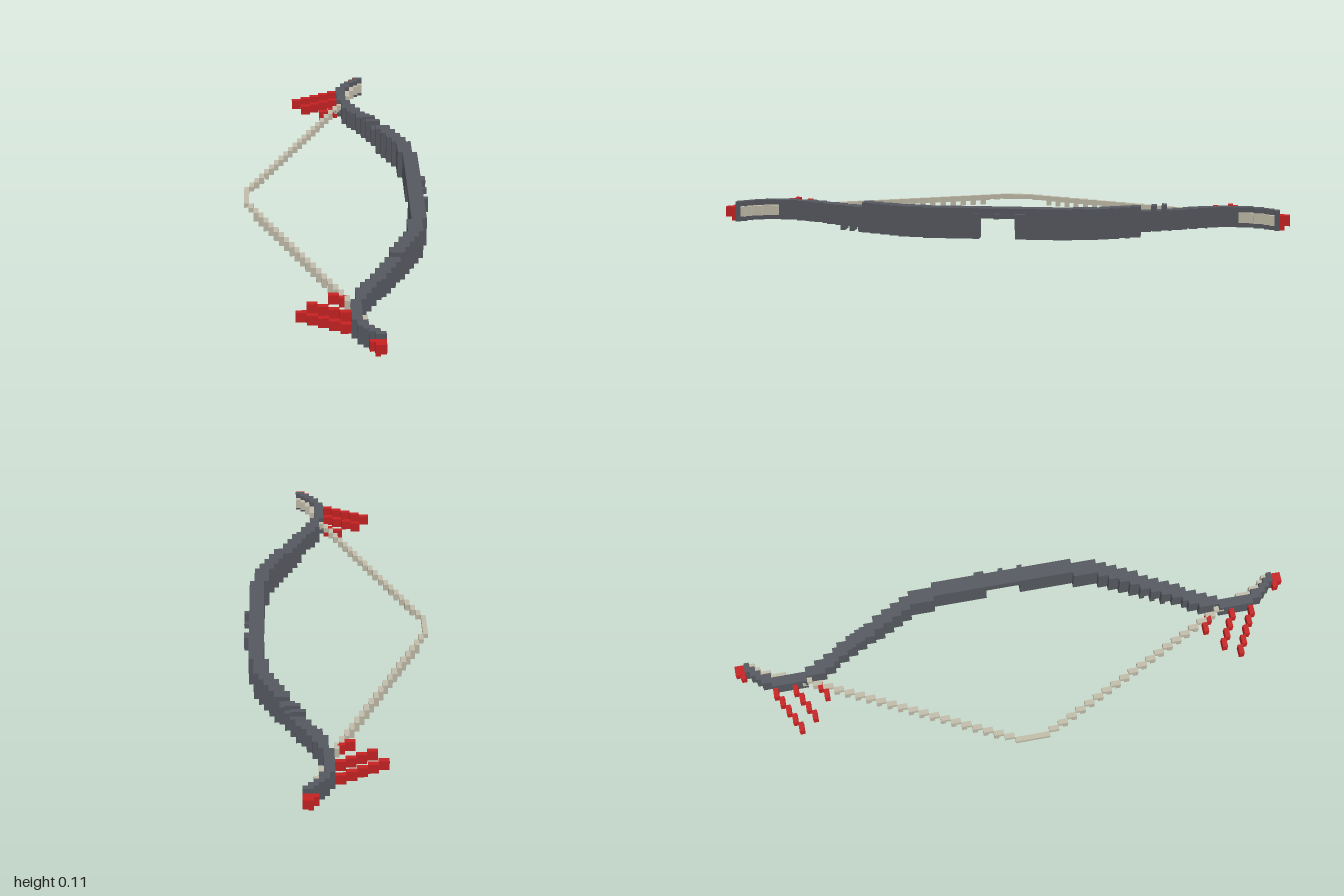
import * as THREE from 'three';
import { mergeGeometries } from 'three/addons/utils/BufferGeometryUtils.js';

const U = 2 / 113; // voxel size; the bow is 113 voxels long

// Block spanning voxel indices inclusive: x (i), height (j), z (k)
function block(i0, i1, j0, j1, k0, k1 = k0) {
  const g = new THREE.BoxGeometry((i1 - i0 + 1) * U, (j1 - j0 + 1) * U, (k1 - k0 + 1) * U);
  return g.translate(((i0 + i1) / 2) * U, ((j0 + j1 + 1) / 2) * U, ((k0 + k1) / 2) * U);
}

// Outer edge of the limb: [slice, x index]
const CURVE = [[0, 17], [12, 17], [17, 16], [20, 15.3], [23, 13.8], [28, 11.4],
  [34, 8.2], [40, 4.6], [43, 3], [48, 3], [51, 4.3], [54, 6.6], [56, 7]];

function outerEdge(k) {
  const n = Math.max(1, CURVE.findIndex(p => p[0] >= k));
  const [k0, x0] = CURVE[n - 1], [k1, x1] = CURVE[n];
  return Math.round(x0 + (x1 - x0) * (k - k0) / (k1 - k0));
}

export function createModel() {
  const bow = new THREE.Group();
  bow.name = 'bow';
  const mat = (name, color) => {
    const m = new THREE.MeshStandardMaterial({ color });
    m.name = name;
    return m;
  };
  const charcoal = mat('charcoal', 0x55585f);
  const cream = mat('cream', 0xc0bba8);
  const red = mat('red', 0xc62222);
  const add = (name, parts, material) => {
    const mesh = new THREE.Mesh(mergeGeometries(parts), material);
    mesh.name = name;
    bow.add(mesh);
  };

  // Curved limbs: tall in the middle, slimmer outwards, cut out under the grip
  const limb = [];
  for (let k = -54; k <= 54; k++) {
    const a = Math.abs(k), x = outerEdge(a);
    const width = a < 41 ? 3 : 2;
    let low = a <= 27 || [28, 30, 32].includes(k) ? 0 : 1;
    const high = a <= 27 || [-30, -32].includes(k) ? 5 : 4;
    if (a <= 3) low = 4;
    limb.push(block(x - width + 1, x, low, high, k));
  }
  add('limbs', limb, charcoal);

  // Small studs on the outside of the grip
  add('gripStuds', [block(18, 18, 2, 4, -5, -4), block(18, 18, 4, 4, 0), block(18, 18, 2, 4, 4)], charcoal);

  // Drawn string, ribbed underneath
  const string = [];
  for (let k = -43; k <= 43; k++) {
    const a = Math.abs(k);
    const x = -18 + Math.max(0, Math.ceil((a - 3) / 2.02));
    string.push(block(x, x, x > -17 && a % 2 ? 2 : 3, 3, k));
  }
  add('string', string, cream);

  for (const s of [-1, 1]) {
    const span = (i0, i1, j0, j1, a, b = a) =>
      block(i0, i1, j0, j1, Math.min(s * a, s * b), Math.max(s * a, s * b));

    // String lying along the outside of the recurved tip
    const wrap = [];
    for (let a = 47; a <= 53; a++) {
      const x = Math.min(7, outerEdge(a) + 1);
      wrap.push(span(x, x, 2, 3, a));
    }
    add('stringEnd', wrap, cream);

    // Red tip
    add('tip', [span(5, 7, 2, 3, 55), span(6, 7, 2, 3, 56), span(6, 6, 1, 1, 55)], red);

    // Three slanting feathers: [start x, start slice, steps]
    const feathers = [];
    for (const [x, a, steps] of [[-8, 45, 5], [-6, 42, 4], [-2, 39, 2]]) {
      for (let n = 0; n < steps; n++) {
        feathers.push(span(x + 2 * n, x + 2 * n + 1, 2, 3, a + n));
      }
    }
    add('feathers', feathers, red);
  }
  return bow;
}
